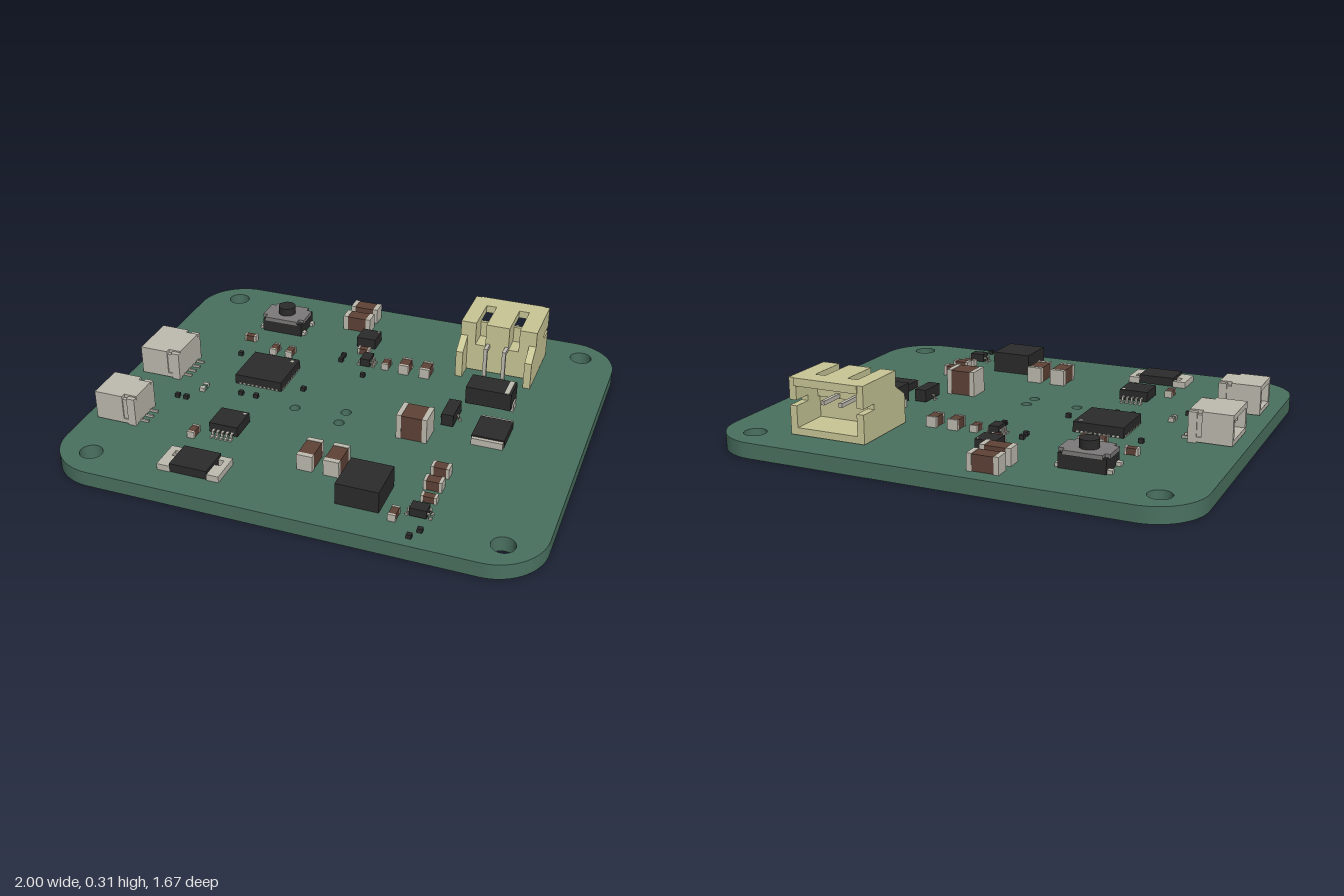
import * as THREE from 'three';

const mat = (name, color) => Object.assign(new THREE.MeshStandardMaterial({ color }), { name });
const M = {
  board: mat('boardGreen', 0x4a7160), black: mat('chipBlack', 0x2b2b2b), pale: mat('solderPale', 0xbfbcb0),
  brown: mat('ceramicBrown', 0x5e4236), cream: mat('connectorCream', 0xcac897), grey: mat('steelGrey', 0x7c7a79),
};
const T = 0.065; // board top

export function createModel() {
  const root = new THREE.Group();
  root.name = 'circuitBoard';
  const group = (name) => { const g = new THREE.Group(); g.name = name; root.add(g); return g; };
  // box given by its limits
  const box = (g, name, m, x0, x1, y0, y1, z0, z1) => {
    const b = new THREE.Mesh(new THREE.BoxGeometry(x1 - x0, y1 - y0, z1 - z0), m);
    b.position.set((x0 + x1) / 2, (y0 + y1) / 2, (z0 + z1) / 2);
    b.name = name;
    g.add(b);
    return b;
  };
  const cyl = (g, name, m, r, y0, y1, x, z) => {
    const c = new THREE.Mesh(new THREE.CylinderGeometry(r, r, y1 - y0, 24), m);
    c.position.set(x, (y0 + y1) / 2, z);
    c.name = name;
    g.add(c);
  };

  // board with rounded corners, mounting holes and vias
  const s = new THREE.Shape(), w = 1, h = 0.8375, r = 0.21;
  s.absarc(w - r, h - r, r, 0, Math.PI / 2);
  s.absarc(-w + r, h - r, r, Math.PI / 2, Math.PI);
  s.absarc(-w + r, -h + r, r, Math.PI, Math.PI * 1.5);
  s.absarc(w - r, -h + r, r, Math.PI * 1.5, Math.PI * 2);
  for (const [x, z, hr] of [[-0.843, -0.712, 0.047], [0.845, -0.712, 0.047], [-0.843, 0.705, 0.047],
    [0.845, 0.712, 0.047], [-0.205, 0.122, 0.022], [0.01, 0.08, 0.022], [0.01, 0.165, 0.022]]) {
    s.holes.push(new THREE.Path().absarc(x, -z, hr, 0, Math.PI * 2, true));
  }
  const boardGeo = new THREE.ExtrudeGeometry(s, { depth: T, bevelEnabled: false, curveSegments: 16 });
  boardGeo.rotateX(-Math.PI / 2);
  const board = new THREE.Mesh(boardGeo, M.board);
  board.name = 'board';
  root.add(board);

  // chip capacitors: x, z, size x, size z, height; terminals on the long axis
  for (const [x, z, sx, sz, ht] of [
    [-0.19, -0.738, 0.13, 0.066, 0.07], [-0.19, -0.632, 0.13, 0.066, 0.07],
    [-0.086, -0.415, 0.056, 0.03, 0.03], [-0.617, -0.353, 0.056, 0.03, 0.03],
    [-0.471, -0.29, 0.032, 0.06, 0.03], [-0.396, -0.29, 0.032, 0.06, 0.03], [0.048, -0.334, 0.032, 0.056, 0.03],
    [0.137, -0.334, 0.046, 0.074, 0.045], [0.233, -0.334, 0.046, 0.074, 0.045],
    [0.33, 0.137, 0.13, 0.105, 0.11],
    [0.004, 0.468, 0.066, 0.13, 0.07], [0.115, 0.468, 0.066, 0.13, 0.07],
    [0.512, 0.372, 0.075, 0.046, 0.045], [0.512, 0.468, 0.075, 0.046, 0.045],
    [0.52, 0.553, 0.064, 0.032, 0.03], [0.424, 0.69, 0.032, 0.062, 0.03], [-0.515, 0.45, 0.032, 0.06, 0.03],
  ]) {
    const g = group('capacitor');
    g.position.set(x, T, z);
    if (sz > sx) g.rotation.y = Math.PI / 2;
    const L = Math.max(sx, sz) / 2, W = Math.min(sx, sz) / 2, e = L * 0.32;
    box(g, 'ceramicBody', M.brown, -L + e, L - e, 0.002, ht - 0.002, -W + 0.001, W - 0.001);
    for (const k of [-1, 1]) box(g, 'terminal', M.pale, k * (L - e / 2) - e / 2, k * (L - e / 2) + e / 2, 0, ht, -W, W);
  }

  // tiny black passives
  for (const [x, z] of [[-0.163, -0.355], [-0.16, -0.312], [-0.024, -0.22], [-0.225, -0.022], [-0.605, -0.21],
    [-0.463, 0.1], [-0.393, 0.1], [-0.71, 0.21], [-0.67, 0.21], [0.542, 0.742], [0.515, 0.788]]) {
    box(root, 'tinyResistor', M.black, x - 0.01, x + 0.01, T, T + 0.018, z - 0.009, z + 0.009);
  }
  // small indicator lamp
  const lamp = group('indicatorLamp');
  box(lamp, 'lampBody', M.board, -0.64, -0.62, T, T + 0.015, 0.1, 0.13);
  box(lamp, 'lampEnd', M.pale, -0.643, -0.62, T, T + 0.018, 0.088, 0.105);
  box(lamp, 'lampEnd', M.pale, -0.643, -0.62, T, T + 0.018, 0.122, 0.139);

  // main processor and small leadless chip with corner marks
  const cpu = group('processor');
  box(cpu, 'chipBody', M.black, -0.525, -0.31, T, 0.108, -0.19, 0.022);
  cyl(cpu, 'cornerMark', M.pale, 0.008, 0.106, 0.109, -0.335, -0.165);
  for (let i = 0; i < 10; i++) {
    const t = -0.085 + i * 0.019;
    box(cpu, 'edgePad', M.pale, -0.421 + t, -0.412 + t, T, T + 0.008, -0.192, 0.024);
    box(cpu, 'edgePad', M.pale, -0.527, -0.308, T, T + 0.008, -0.088 + t, -0.079 + t);
  }
  const sensor = group('sensorChip');
  box(sensor, 'chipBody', M.black, -0.14, -0.052, T, 0.112, -0.555, -0.467);
  cyl(sensor, 'cornerMark', M.pale, 0.004, 0.11, 0.113, -0.062, -0.545);

  // bent lead pointing along x or z from a body side
  const lead = (g, x, z, dx, dz, len, hw = 0.005) => {
    const ax = Math.abs(dx), az = Math.abs(dz), ex = hw * az, ez = hw * ax;
    const seg = (a, b, y0, y1) => box(g, 'lead', M.pale,
      Math.min(x + dx * a, x + dx * b) - ex, Math.max(x + dx * a, x + dx * b) + ex, y0, y1,
      Math.min(z + dz * a, z + dz * b) - ez, Math.max(z + dz * a, z + dz * b) + ez);
    seg(-0.005, len * 0.5, 0.084, 0.09);
    seg(len * 0.35, len * 0.55, T, 0.09);
    seg(len * 0.4, len, T, 0.072);
  };
  // driver chip with leads front and back
  const driver = group('driverChip');
  box(driver, 'chipBody', M.black, -0.46, -0.335, 0.072, 0.115, 0.295, 0.417);
  cyl(driver, 'cornerMark', M.pale, 0.007, 0.113, 0.116, -0.349, 0.309);
  for (let i = 0; i < 5; i++) {
    const x = -0.437 + i * 0.0205;
    lead(driver, x, 0.295, 0, -1, 0.035);
    lead(driver, x, 0.417, 0, 1, 0.035);
  }
  // small transistors
  for (const [x, z, sx, sz, top, leads] of [
    [-0.043, -0.332, 0.044, 0.066, 0.105, [-0.02, 0, 0.02]],
    [0.437, -0.023, 0.052, 0.126, 0.122, [-0.002]],
    [0.51, 0.645, 0.068, 0.05, 0.105, [-0.015, 0.015]]]) {
    const g = group('transistor');
    box(g, 'chipBody', M.black, x - sx / 2, x + sx / 2, 0.07, top, z - sz / 2, z + sz / 2);
    for (const t of leads) for (const k of [-1, 1]) lead(g, x + k * sx / 2, z + t, k, 0, 0.018);
  }

  // power inductor
  box(root, 'inductor', M.black, 0.19, 0.365, T, 0.157, 0.508, 0.69);

  // raised diode with pale band
  const diode = group('bandedDiode');
  box(diode, 'diodeBody', M.black, 0.465, 0.66, 0.085, 0.163, -0.245, -0.135);
  box(diode, 'polarityBand', M.pale, 0.63, 0.65, 0.16, 0.165, -0.243, -0.137);
  for (const x of [0.46, 0.628]) box(diode, 'diodeLead', M.pale, x, x + 0.038, T, 0.1, -0.215, -0.165);

  // flat diodes with wide terminals
  const flat = group('flatDiodeRight');
  box(flat, 'diodeBody', M.black, 0.56, 0.697, 0.068, 0.1, -0.038, 0.114);
  for (const z of [-0.055, 0.108]) box(flat, 'terminal', M.pale, 0.563, 0.694, T, 0.094, z, z + 0.022);
  const flatL = group('flatDiodeLeft');
  box(flatL, 'diodeBody', M.black, -0.485, -0.325, 0.068, 0.105, 0.588, 0.722);
  for (const [x0, x1, n0, n1] of [[-0.54, -0.485, -0.54, -0.51], [-0.325, -0.275, -0.3, -0.275]]) {
    box(flatL, 'terminal', M.pale, x0, x1, T, 0.092, 0.588, 0.615);
    box(flatL, 'terminal', M.pale, x0, x1, T, 0.092, 0.65, 0.722);
    box(flatL, 'terminal', M.pale, n0, n1, T, 0.092, 0.615, 0.65);
  }

  // push button
  const btn = group('pushButton');
  box(btn, 'buttonBase', M.black, -0.605, -0.415, T, 0.125, -0.605, -0.463);
  box(btn, 'buttonPlate', M.grey, -0.592, -0.434, 0.12, 0.138, -0.61, -0.458);
  box(btn, 'buttonPlate', M.grey, -0.613, -0.41, 0.12, 0.138, -0.585, -0.485);
  cyl(btn, 'buttonCap', M.black, 0.039, 0.13, 0.174, -0.513, -0.535);
  for (const x of [-0.625, -0.425]) for (const z of [-0.595, -0.5])
    box(btn, 'buttonLeg', M.pale, x, x + 0.025, T, 0.08, z, z + 0.025);

  // pale side sockets, open to the right edge of the board
  for (const [z0, z1, pins] of [[-0.128, 0.082, 4], [0.31, 0.477, 3]]) {
    const g = group('sideSocket');
    const a = -0.945, b = -0.765, t = 0.02;
    box(g, 'socketRoof', M.pale, a, -0.82, 0.172, 0.195, z0, z1);
    box(g, 'socketRoof', M.pale, -0.82, b, 0.172, 0.195, z0 + 0.022, z1 - 0.022);
    box(g, 'socketFloor', M.pale, a, b, 0.07, 0.09, z0, z1);
    box(g, 'socketBack', M.pale, -0.82, b, 0.08, 0.18, z0 + 0.005, z1 - 0.005);
    for (const z of [z0, z1 - t]) {
      box(g, 'socketWall', M.pale, a, -0.82, 0.075, 0.185, z, z + t);
      box(g, 'socketTab', M.pale, -0.8, b, T, 0.19, z, z + t);
    }
    for (let i = 0; i < pins; i++) {
      const z = (z0 + z1) / 2 + (i - (pins - 1) / 2) * 0.04;
      box(g, 'socketPin', M.pale, b, -0.73, T, 0.075, z - 0.004, z + 0.004);
      box(g, 'contactPin', M.pale, -0.92, -0.8, 0.125, 0.135, z - 0.004, z + 0.004);
    }
  }

  // cream battery connector, open to the back
  const c = group('batteryConnector');
  const side = new THREE.Shape([[-0.365, 0.068], [-0.365, 0.19], [-0.435, 0.238], [-0.435, 0.305], [-0.685, 0.305],
    [-0.685, 0.213], [-0.605, 0.213], [-0.605, 0.19], [-0.685, 0.19], [-0.685, 0.07]].map((p) => new THREE.Vector2(...p)));
  for (const x of [0.386, 0.69]) {
    const geo = new THREE.ExtrudeGeometry(side, { depth: 0.031, bevelEnabled: false });
    geo.rotateY(-Math.PI / 2);
    const m = new THREE.Mesh(geo, M.cream);
    m.position.x = x;
    m.name = 'connectorSide';
    c.add(m);
  }
  box(c, 'connectorFloor', M.cream, 0.38, 0.665, 0.07, 0.1, -0.685, -0.44);
  box(c, 'connectorRoof', M.cream, 0.38, 0.665, 0.272, 0.305, -0.69, -0.61);
  box(c, 'connectorBack', M.cream, 0.38, 0.665, 0.08, 0.2, -0.52, -0.435);
  box(c, 'connectorBack', M.cream, 0.38, 0.665, 0.19, 0.27, -0.535, -0.52);
  for (const [x0, x1] of [[0.38, 0.422], [0.467, 0.57], [0.615, 0.665]]) {
    box(c, 'connectorRoof', M.cream, x0, x1, 0.272, 0.305, -0.612, -0.435);
    box(c, 'connectorBack', M.cream, x0, x1, 0.195, 0.28, -0.52, -0.435);
  }
  for (const x of [0.48, 0.562]) {
    box(c, 'connectorPin', M.pale, x - 0.008, x + 0.008, 0.195, 0.212, -0.65, -0.385);
    box(c, 'connectorPin', M.pale, x - 0.008, x + 0.008, T, 0.212, -0.4, -0.385);
    box(c, 'connectorPin', M.pale, x - 0.008, x + 0.008, T, 0.08, -0.4, -0.33);
  }
  return root;
}
